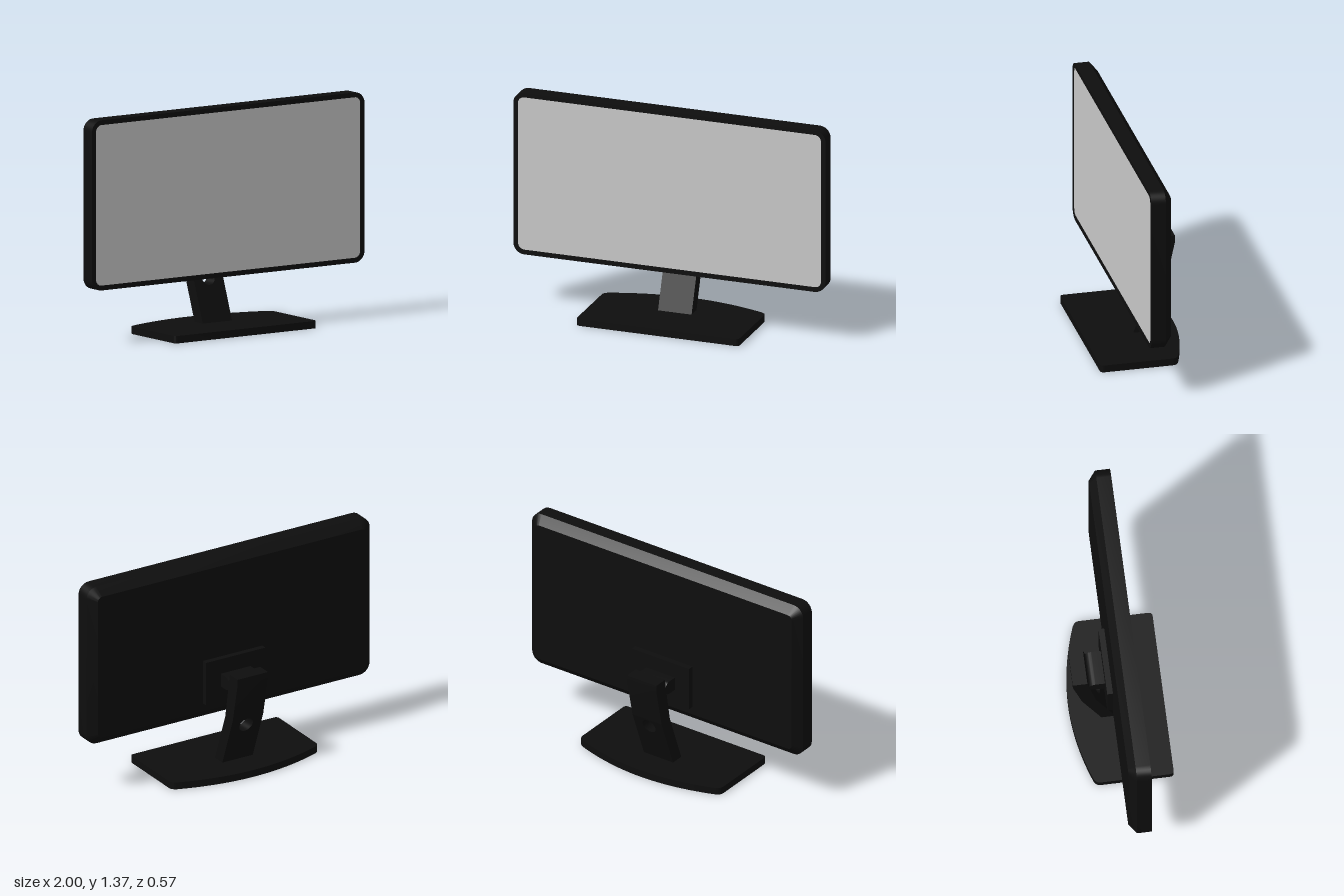
import * as THREE from 'three';
import { toCreasedNormals } from 'three/addons/utils/BufferGeometryUtils.js';

const black = new THREE.MeshStandardMaterial({ color: 0x0e0e0e });
const grey = new THREE.MeshStandardMaterial({ color: 0xcccccc });
const CX = -0.005; // centre line of the stand

function part(name, geometry, material = black) {
  const mesh = new THREE.Mesh(toCreasedNormals(geometry, 0.5), material);
  mesh.name = name;
  return mesh;
}

// Rounded rectangle as points, counter-clockwise, centred on x = 0
function roundedRect(w, y0, y1, r, steps = 8) {
  const points = [];
  const corners = [[w - r, y1 - r], [-w + r, y1 - r], [-w + r, y0 + r], [w - r, y0 + r]];
  corners.forEach(([cx, cy], k) => {
    for (let i = 0; i <= steps; i++) {
      const a = (k + i / steps) * Math.PI / 2;
      points.push(new THREE.Vector2(cx + r * Math.cos(a), cy + r * Math.sin(a)));
    }
  });
  return points;
}

// Skin between equal-length rings, ordered back to front, with a closed back
function loft(rings) {
  const pos = [];
  const n = rings[0].length;
  const centre = [0, 0.8525, rings[0][0].z];
  for (let i = 0; i < n; i++) {
    const j = (i + 1) % n;
    pos.push(...centre, ...rings[0][j], ...rings[0][i]);
    for (let k = 0; k < rings.length - 1; k++) {
      const a = rings[k][i], b = rings[k][j], c = rings[k + 1][j], d = rings[k + 1][i];
      pos.push(...a, ...b, ...c, ...a, ...c, ...d);
    }
  }
  const g = new THREE.BufferGeometry();
  g.setAttribute('position', new THREE.Float32BufferAttribute(pos, 3));
  return g;
}

// Side outline (drawn as -z, y) extruded across x
function sideExtrude(shape, width) {
  const g = new THREE.ExtrudeGeometry(shape, { depth: width, bevelEnabled: false, curveSegments: 12 });
  return g.rotateY(Math.PI / 2).translate(CX - width / 2, 0, 0);
}

export function createModel() {
  const group = new THREE.Group();

  // Display housing: chamfered back, straight rim, thin bezel with a shallow recess
  const ring = (inset, r, z) =>
    roundedRect(1 - inset, 0.335 + inset, 1.37 - inset, r).map(p => new THREE.Vector3(p.x, p.y, z));
  group.add(part('displayHousing', loft([
    ring(0.053, 0.03, -0.045),
    ring(0, 0.07, 0),
    ring(0, 0.07, 0.09),
    ring(0.029, 0.041, 0.09),
    ring(0.029, 0.041, 0.086),
  ])));
  const panel = new THREE.ShapeGeometry(new THREE.Shape(roundedRect(0.971, 0.364, 1.341, 0.041)));
  group.add(part('screenPanel', panel.translate(0, 0, 0.086), grey));

  // Mounting plate on the back
  const plate = new THREE.BoxGeometry(0.42, 0.28, 0.04);
  group.add(part('mountingPlate', plate.translate(CX, 0.58, -0.06)));

  // Hinge block with a rounded end
  const hinge = new THREE.Shape();
  hinge.moveTo(0.07, 0.54);
  hinge.lineTo(0.14, 0.54);
  hinge.absarc(0.136, 0.582, 0.042, -Math.PI / 2, Math.PI / 2, false);
  hinge.lineTo(0.07, 0.624);
  hinge.closePath();
  group.add(part('hinge', sideExtrude(hinge, 0.21)));

  // Upper neck
  const upper = new THREE.Shape([
    [0.135, 0.365], [0.22, 0.365], [0.275, 0.62], [0.275, 0.66], [0.187, 0.66],
  ].map(([u, v]) => new THREE.Vector2(u, v)));
  group.add(part('upperNeck', sideExtrude(upper, 0.215)));

  // Lower neck: a plate with a cable hole, sheared so that it leans back
  const w = 0.1075;
  const lower = new THREE.Shape([[-w, 0.01], [w, 0.01], [w, 0.365], [-w, 0.365]]
    .map(([x, y]) => new THREE.Vector2(x + CX, y)));
  lower.holes.push(new THREE.Path().absarc(CX, 0.308, 0.047, 0, Math.PI * 2, true));
  const lowerGeo = new THREE.ExtrudeGeometry(lower, { depth: 0.085, bevelEnabled: false, curveSegments: 16 });
  const p = lowerGeo.attributes.position;
  for (let i = 0; i < p.count; i++) {
    p.setZ(i, p.getZ(i) - 0.22 + (0.365 - p.getY(i)) * 0.369);
  }
  group.add(part('lowerNeck', lowerGeo));

  // Base: straight front with rounded corners, bowed rear (drawn as x, -z)
  const b = 0.52, r = 0.025;
  const foot = new THREE.Shape();
  foot.moveTo(-b + r, -0.285);
  foot.lineTo(b - r, -0.285);
  foot.quadraticCurveTo(b, -0.285, b, -0.285 + r);
  foot.lineTo(b, 0.16);
  foot.quadraticCurveTo(b, 0.185, b - 0.03, 0.2);
  foot.quadraticCurveTo(0.24, 0.29, 0, 0.29);
  foot.quadraticCurveTo(-0.24, 0.29, -b + 0.03, 0.2);
  foot.quadraticCurveTo(-b, 0.185, -b, 0.16);
  foot.lineTo(-b, -0.285 + r);
  foot.quadraticCurveTo(-b, -0.285, -b + r, -0.285);
  const baseGeo = new THREE.ExtrudeGeometry(foot, { depth: 0.045, bevelEnabled: false, curveSegments: 12 });
  group.add(part('base', baseGeo.rotateX(-Math.PI / 2).translate(CX, 0, 0)));

  return group;
}
